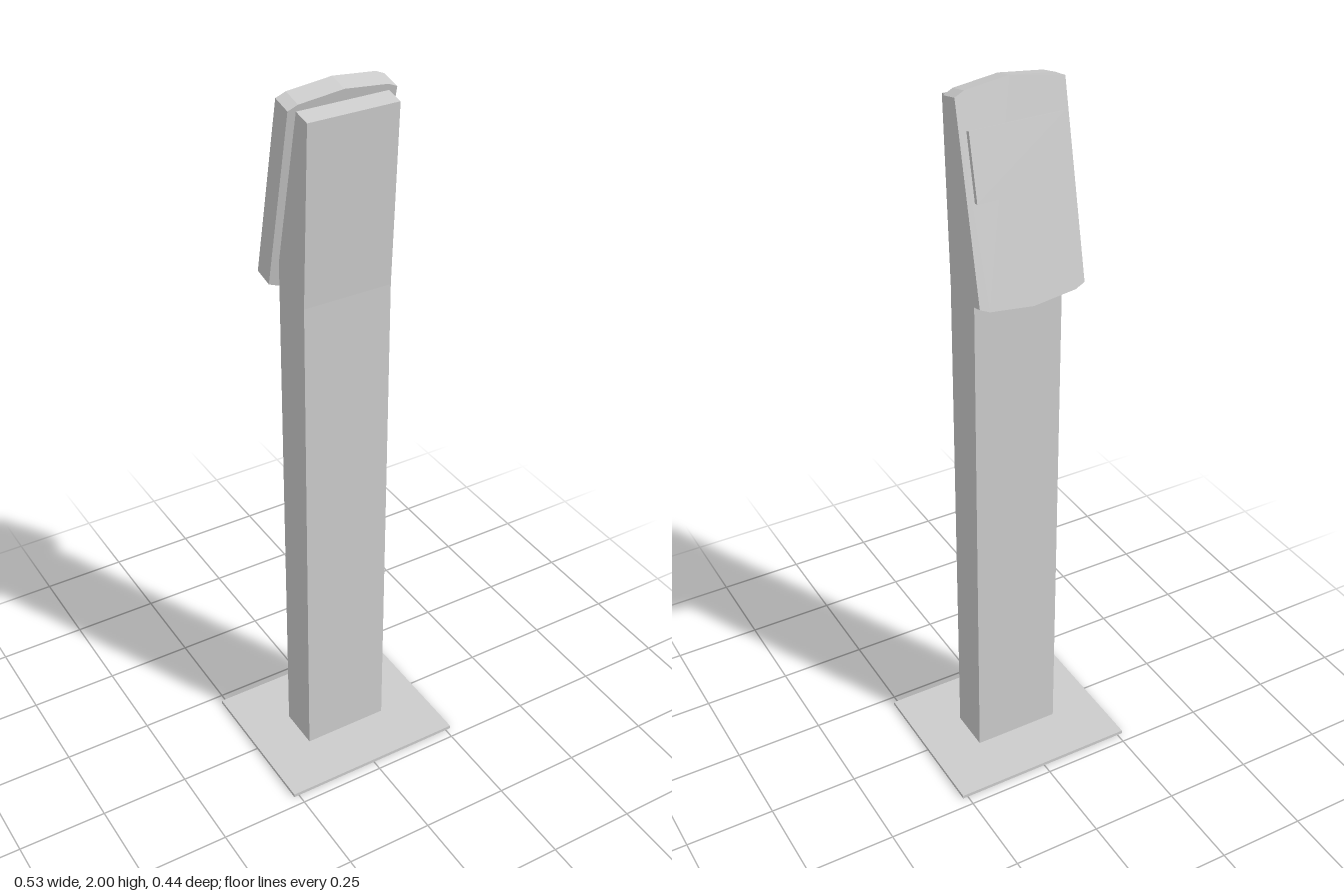
import * as THREE from 'three';

const material = new THREE.MeshStandardMaterial({ color: 0xcccccc, flatShading: true });

function addMesh(parent, name, geometry) {
  const mesh = new THREE.Mesh(geometry, material);
  mesh.name = name;
  parent.add(mesh);
  return mesh;
}

function extrude(points, depth) {
  const shape = new THREE.Shape(points.map(([x, y]) => new THREE.Vector2(x, y)));
  return new THREE.ExtrudeGeometry(shape, { depth, bevelEnabled: false });
}

export function createModel() {
  const model = new THREE.Group();
  model.name = 'kioskStand';

  // Thin floor plate
  addMesh(model, 'basePlate', new THREE.BoxGeometry(0.53, 0.01, 0.44)).position.y = 0.005;

  // Column: side profile as [z, y], extruded across the width
  const profile = [
    [0.062, 0.01], [-0.059, 0.01], [-0.059, 1.533], [0.036, 1.957], [0.086, 1.947], [0.062, 1.46],
  ];
  const column = extrude(profile.map(([z, y]) => [-z, y]), 0.248);
  column.translate(0, 0, -0.124);
  column.rotateY(Math.PI / 2);
  addMesh(model, 'column', column);

  // Tilted head; local origin is the top centre of its outer face, which looks to -z
  const head = new THREE.Group();
  head.name = 'head';
  head.position.set(0, 2, -0.013);
  head.rotation.x = THREE.MathUtils.degToRad(12.6);
  model.add(head);

  // Housing with crowned top and bottom edges
  const length = 0.555;
  const crown = [[0.146, 0.026], [0.12, 0.014], [0, 0], [-0.12, 0.014], [-0.146, 0.026]];
  const outline = [
    ...crown.map(([x, drop]) => [x, -drop]),
    ...crown.map(([x, drop]) => [-x, drop - length]),
  ];
  addMesh(head, 'housing', extrude(outline, 0.057));

  // Raised screen panel
  const screen = addMesh(head, 'screen', new THREE.BoxGeometry(0.256, 0.17, 0.016));
  screen.position.set(-0.002, -0.19, -0.004);

  return model;
}
